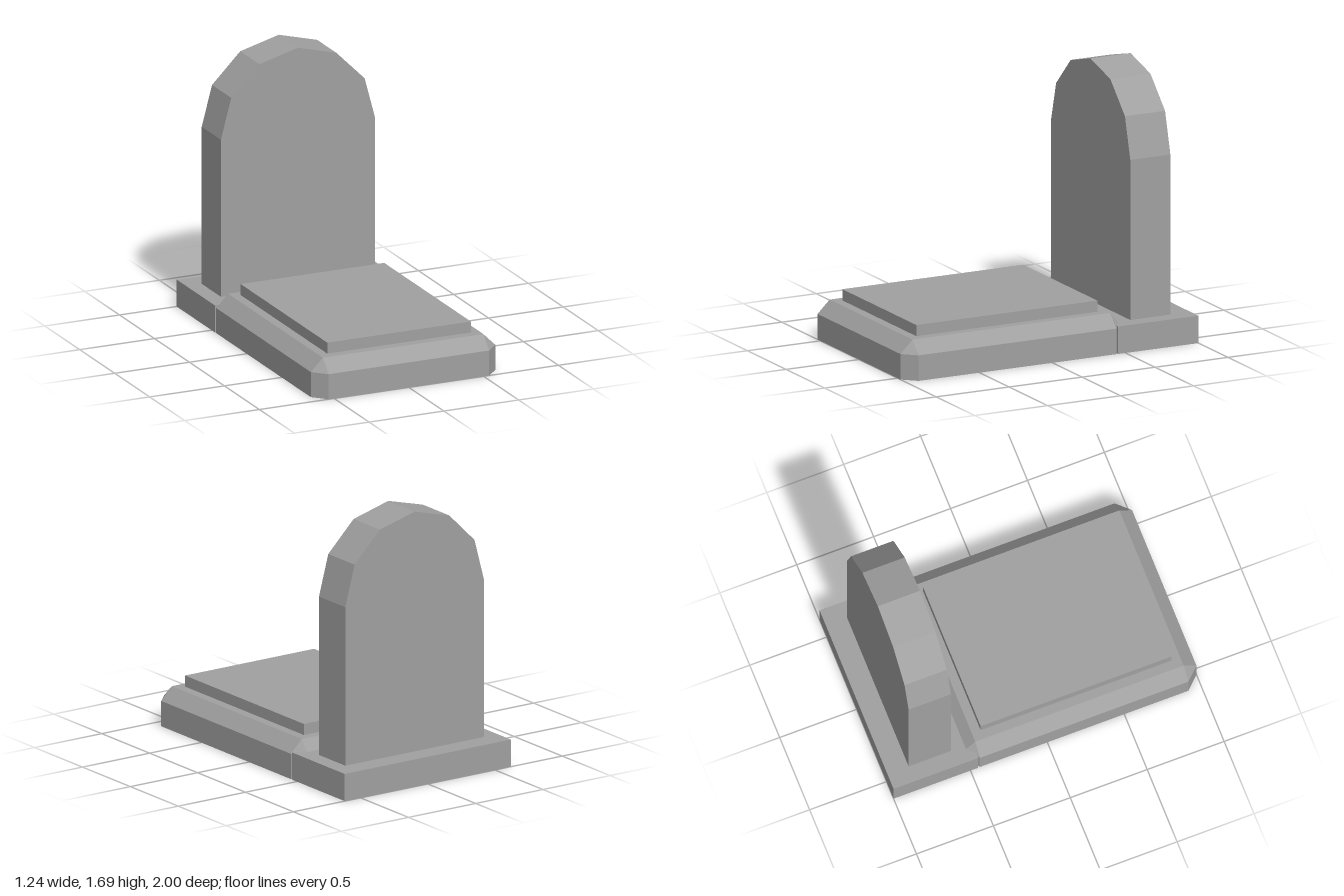
import * as THREE from 'three';

const stone = new THREE.MeshStandardMaterial({ color: 0xa0a0a0, side: THREE.DoubleSide, flatShading: true });
stone.name = 'grey stone';

function add(group, name, geometry, x = 0, y = 0, z = 0) {
  const mesh = new THREE.Mesh(geometry, stone);
  mesh.name = name;
  mesh.position.set(x, y, z);
  group.add(mesh);
}

// Box standing on y = 0 without its bottom face
function openBox(w, h, d) {
  const g = new THREE.BoxGeometry(w, h, d).translate(0, h / 2, 0);
  const index = Array.from(g.index.array);
  index.splice(18, 6);
  g.setIndex(index);
  g.clearGroups();
  return g;
}

// Grave base, open below: eight-sided wall, sloped shoulder, flat top
function baseGeometry() {
  const X = 0.617, x = 0.537, F = 1, f = 0.917, b = -0.437, B = -0.508;
  const outer = [[-x, F], [x, F], [X, f], [X, b], [x, B], [-x, B], [-X, b], [-X, f]];
  const inner = [[-x, f], [x, f], [x, f], [x, b], [x, b], [-x, b], [-x, b], [-x, f]];
  const rings = [[outer, 0], [outer, 0.16], [inner, 0.24]];
  const pos = rings.flatMap(([ring, y]) => ring.flatMap(([px, pz]) => [px, y, pz]));
  const index = [];
  for (let r = 0; r < 2; r++) {
    for (let i = 0; i < 8; i++) {
      const a = r * 8 + i, c = r * 8 + (i + 1) % 8;
      index.push(a, c, a + 8);
      // corner facets of the shoulder end in a point
      if (r === 0 || i % 2 === 0) index.push(c, c + 8, a + 8);
    }
  }
  index.push(16, 17, 19, 16, 19, 21);
  const g = new THREE.BufferGeometry();
  g.setAttribute('position', new THREE.Float32BufferAttribute(pos, 3));
  g.setIndex(index);
  const flat = g.toNonIndexed();
  flat.computeVertexNormals();
  return flat;
}

// Headstone outline: straight sides under a six-sided half round
function headstoneGeometry() {
  const r = 0.515, spring = 1.175, foot = 0.07;
  const s = new THREE.Shape();
  s.moveTo(-r, foot);
  s.lineTo(r, foot);
  for (let i = 0; i <= 6; i++) {
    const a = (i / 6) * Math.PI;
    s.lineTo(r * Math.cos(a), spring + r * Math.sin(a));
  }
  s.closePath();
  return new THREE.ExtrudeGeometry(s, { depth: 0.275, bevelEnabled: false });
}

export function createModel() {
  const group = new THREE.Group();
  group.name = 'gravestone';
  add(group, 'graveBase', baseGeometry());
  add(group, 'coverSlab', new THREE.BoxGeometry(0.96, 0.07, 1.24), 0, 0.276, 0.24);
  add(group, 'headstonePlinth', openBox(1.236, 0.172, 0.55), 0, 0, -0.725);
  add(group, 'headstone', headstoneGeometry(), 0, 0, -0.862);
  return group;
}
